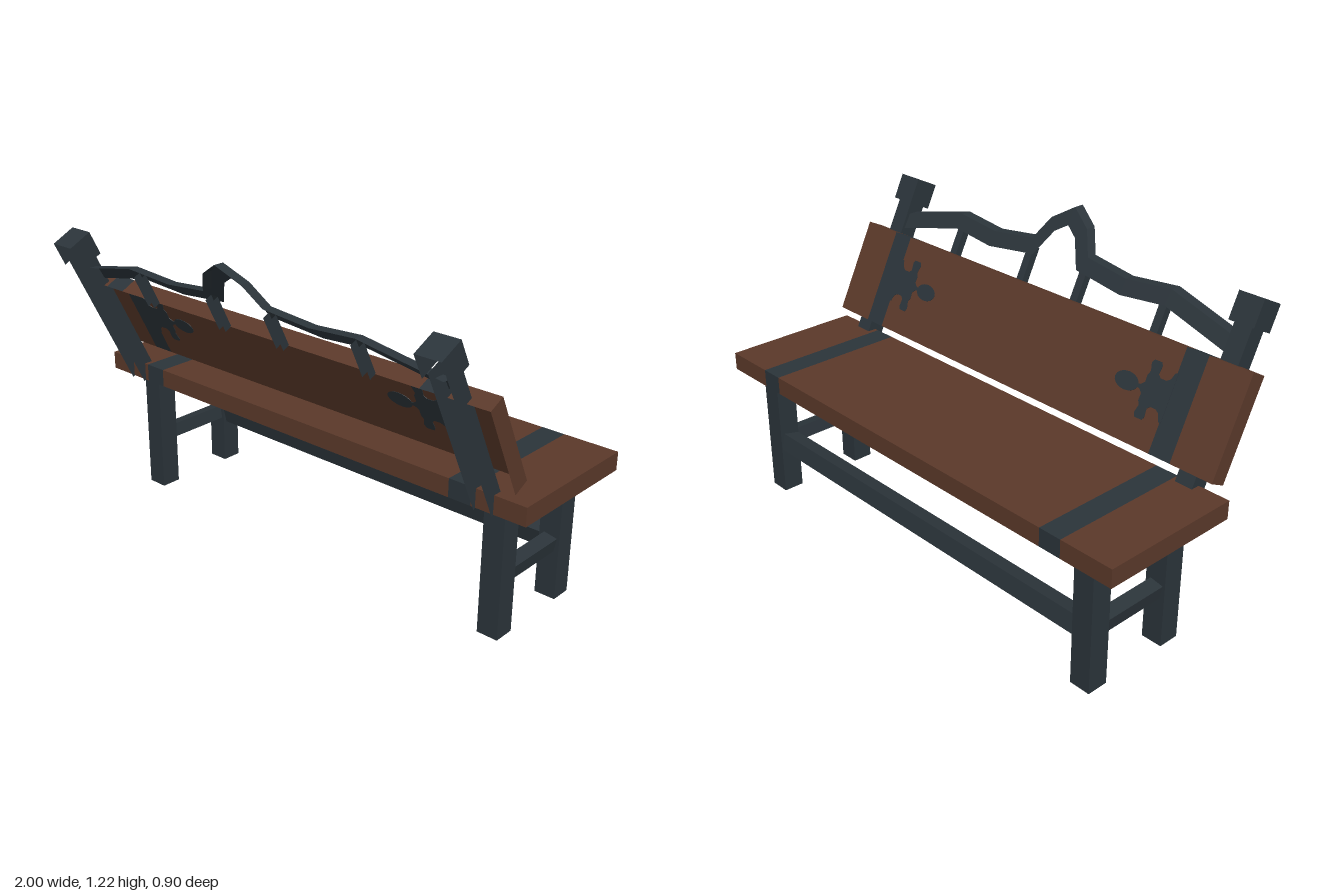
import * as THREE from 'three';

const wood = new THREE.MeshStandardMaterial({ color: 0x5b392a, side: THREE.DoubleSide });
wood.name = 'brown wood';
const metal = new THREE.MeshStandardMaterial({ color: 0x2b343a, side: THREE.DoubleSide });
metal.name = 'dark iron';

function add(parent, name, geometry, material, x = 0, y = 0, z = 0) {
  const mesh = new THREE.Mesh(geometry, material);
  mesh.name = name;
  mesh.position.set(x, y, z);
  parent.add(mesh);
  return mesh;
}

// Box shell without the sides listed in open, e.g. '-y +z'
const SIDES = ['+x', '-x', '+y', '-y', '+z', '-z'];
function shell(parent, name, material, open, w, h, d, x, y, z) {
  const geometry = new THREE.BoxGeometry(w, h, d);
  const kept = Array.from(geometry.index.array).filter((_, i) => !open.includes(SIDES[Math.floor(i / 6)]));
  geometry.setIndex(kept);
  geometry.clearGroups();
  return add(parent, name, geometry, material, x, y, z);
}

// Board cut across its width so that two iron bands run over it
const BAND_OUT = 0.79, BAND_IN = 0.7;
function bandedBoard(parent, name, open, halfWidth, h, d, y, z) {
  const board = new THREE.Group();
  board.name = name;
  board.position.set(0, y, z);
  parent.add(board);
  const through = open + ' +x -x';
  shell(board, name + 'Middle', wood, through, BAND_IN * 2, h, d, 0, 0, 0);
  for (const s of [-1, 1]) {
    shell(board, name + 'Band', metal, through, BAND_OUT - BAND_IN, h, d, s * (BAND_OUT + BAND_IN) / 2, 0, 0);
    shell(board, name + 'End', wood, open + (s > 0 ? ' -x' : ' +x'),
      halfWidth - BAND_OUT, h, d, s * (halfWidth + BAND_OUT) / 2, 0, 0);
  }
  return board;
}

// Iron ornament growing inward from a band: flared stem, crosspiece and leaf
function ornamentShapes(s) {
  const half = [[-0.005, 0.088], [0.006, 0.084], [0.015, 0.06], [0.03, 0.05], [0.055, 0.05],
    [0.066, 0.06], [0.063, 0.09], [0.07, 0.101], [0.1, 0.101], [0.108, 0.088], [0.1, 0.06],
    [0.108, 0.045], [0.107, 0.02], [0.12, 0.008], [0.14, 0.005]];
  const outline = [...half, ...half.map(([x, y]) => [x, -y]).reverse()];
  const at = x => s * (BAND_IN - x);
  const body = new THREE.Shape(outline.map(([x, y]) => new THREE.Vector2(at(x), y)));
  const leaf = new THREE.Shape();
  leaf.absellipse(at(0.18), 0, 0.051, 0.032, 0, Math.PI * 2, false, 0);
  return [body, leaf];
}

// Rail following a polyline: a leaning front face and a level top face
function railGeometry(points, half, depth, lean) {
  const p = points.map(([x, y]) => new THREE.Vector2(x, y));
  const rows = p.map((q, i) => {
    const a = (i > 0 ? q.clone().sub(p[i - 1]) : p[1].clone().sub(q)).normalize();
    const b = (i < p.length - 1 ? p[i + 1].clone().sub(q) : a.clone()).normalize();
    const t = a.clone().add(b).normalize();
    const n = new THREE.Vector2(-t.y, t.x).multiplyScalar(half / t.dot(a));
    const low = q.clone().sub(n), high = q.clone().add(n);
    return [[low.x, low.y, low.y * lean], [high.x, high.y, high.y * lean],
      [high.x, high.y, high.y * lean + depth]];
  });
  const vertices = [];
  for (let i = 0; i < rows.length - 1; i++) {
    const a = rows[i], b = rows[i + 1];
    for (let k = 0; k < 2; k++)
      vertices.push(...a[k], ...a[k + 1], ...b[k + 1], ...a[k], ...b[k + 1], ...b[k]);
  }
  const geometry = new THREE.BufferGeometry();
  geometry.setAttribute('position', new THREE.Float32BufferAttribute(vertices, 3));
  geometry.computeVertexNormals();
  return geometry;
}

export function createModel() {
  const bench = new THREE.Group();
  bench.name = 'bench';

  // Seat, open underneath
  bandedBoard(bench, 'seat', '-y', 1, 0.069, 0.549, 0.533, -0.18);

  // Legs and stretchers
  for (const s of [-1, 1]) {
    for (const z of [-0.008, -0.36])
      shell(bench, 'leg', metal, '+y -y', 0.082, 0.5, 0.082, s * 0.843, 0.25, z);
    const side = shell(bench, 'sideStretcher', metal, '-y +z -z', 0.054, 0.054, 0.28, s * 0.843, 0.218, -0.184);
    side.rotation.z = -s * 0.19;
  }
  const long = shell(bench, 'longStretcher', metal, '-y +x -x', 1.61, 0.067, 0.067, 0, 0.217, -0.36);
  long.rotation.x = 0.23;

  // Reclined back assembly, open behind; local y runs up along the posts
  const back = new THREE.Group();
  back.name = 'back';
  back.position.set(0, 0.5, 0.066);
  back.rotation.x = 0.458;
  bench.add(back);

  // Posts with cube caps
  for (const s of [-1, 1]) {
    shell(back, 'post', metal, '+y -y +z', 0.07, 0.61, 0.071, s * 0.842, 0.315, 0);
    shell(back, 'postCap', metal, '-y +z', 0.1, 0.1, 0.1, s * 0.842, 0.657, 0);
  }

  // Backrest panel with ornaments inlaid through the front face
  const depth = 0.067, plate = 0.003;
  const panel = bandedBoard(back, 'backrest', '-y +z', 0.962, 0.371, depth, 0.294, -0.042);
  for (const s of [-1, 1]) {
    const geometry = new THREE.ExtrudeGeometry(ornamentShapes(s),
      { depth: plate, bevelEnabled: false, curveSegments: 8 });
    add(panel, 'ornament', geometry, metal, 0, 0.008, -(depth + plate) / 2);
  }

  // Wavy top rail with a raised centre
  const right = [[0.07, 1.145], [0.125, 1.058], [0.33, 1.035], [0.525, 1.052], [0.83, 0.985]];
  const path = [...right.map(([x, y]) => [-x, y]).reverse(), [0, 1.187], ...right];
  const railDepth = 0.04, lean = 0.56;
  add(bench, 'topRail', railGeometry(path, 0.026, railDepth, lean), metal,
    0, 0, 0.412 - railDepth / 2 - lean * 1.187);

  // Short pins joining the rail to the backrest
  for (const x of [-0.51, -0.137, 0.137, 0.51])
    shell(back, 'railPin', metal, '+y -y +z', 0.032, 0.135, 0.03, x, 0.545, 0.002);

  return bench;
}
